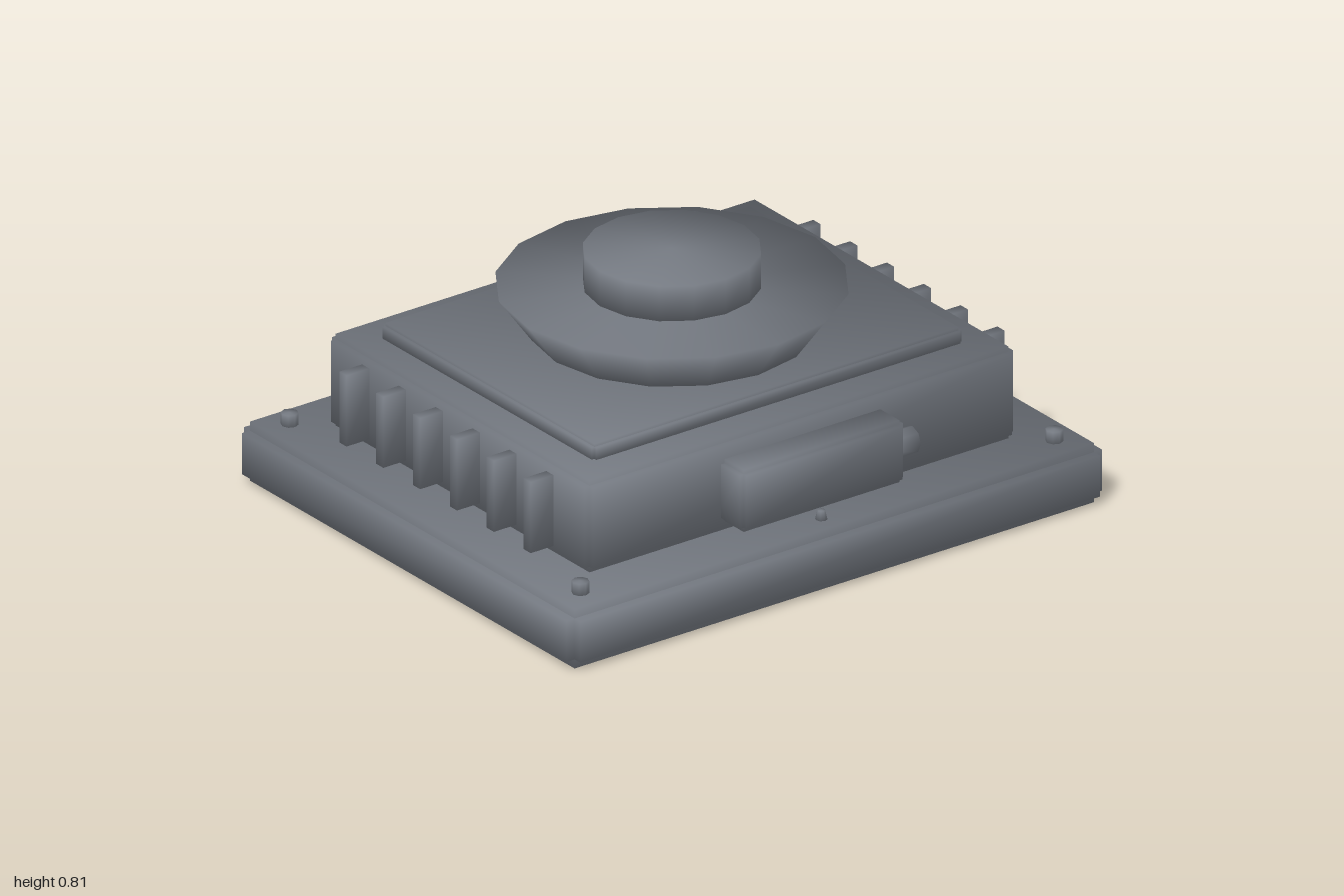
import * as THREE from 'three';
import { mergeVertices, mergeGeometries } from 'three/addons/utils/BufferGeometryUtils.js';

const material = new THREE.MeshStandardMaterial({ color: 0x757a82 });

// Share vertices and average the face normals by corner angle,
// so that shading runs softly over every edge
function soften(geometry) {
  geometry.deleteAttribute('normal');
  geometry.deleteAttribute('uv');
  const merged = mergeVertices(geometry, 1e-4);
  const { position } = merged.attributes;
  const index = merged.index.array;
  const point = (i) => new THREE.Vector3().fromBufferAttribute(position, i);
  const sums = Array.from({ length: position.count }, () => new THREE.Vector3());
  for (let t = 0; t < index.length; t += 3) {
    for (let k = 0; k < 3; k++) {
      const corner = index[t + k];
      const a = point(index[t + (k + 1) % 3]).sub(point(corner));
      const b = point(index[t + (k + 2) % 3]).sub(point(corner));
      const normal = a.clone().cross(b);
      if (normal.lengthSq() > 0) sums[corner].addScaledVector(normal.normalize(), a.angleTo(b));
    }
  }
  const normals = sums.flatMap((n) => n.normalize().toArray());
  merged.setAttribute('normal', new THREE.Float32BufferAttribute(normals, 3));
  return merged;
}

const box = (w, h, d) => soften(new THREE.BoxGeometry(w, h, d));

// Box with its edges stepped in by c: one slab per axis
function steppedBox(w, h, d, c) {
  const s = 2 * c;
  return mergeGeometries([
    box(w, h - s, d - s),
    box(w - s, h, d - s),
    box(w - s, h - s, d),
  ]);
}

function cylinder(rTop, rBottom, height, sides) {
  return soften(new THREE.CylinderGeometry(rTop, rBottom, height, sides));
}

export function createModel() {
  const model = new THREE.Group();
  const add = (name, geometry, x, y, z) => {
    const mesh = new THREE.Mesh(geometry, material);
    mesh.name = name;
    mesh.position.set(x, y, z);
    model.add(mesh);
    return mesh;
  };

  // Stacked housing
  add('basePlate', steppedBox(2, 0.196, 1.69, 0.03), 0, 0.098, 0);
  add('body', steppedBox(1.6, 0.305, 1.31, 0.018), 0, 0.35, 0);
  add('topPlate', steppedBox(1.38, 0.06, 1.07, 0.01), 0, 0.522, 0);

  // Flared dish and central hub
  add('dish', cylinder(0.535, 0.43, 0.145, 16), 0, 0.6195, 0);
  add('hub', cylinder(0.27, 0.27, 0.12, 16), 0, 0.747, 0);
  add('dishPin', cylinder(0.02, 0.02, 0.02, 8), 0.34, 0.683, -0.345);

  // Cooling fins on both sides
  const fin = box(0.11, 0.235, 0.036);
  for (const side of [-1, 1]) {
    for (let i = 0; i < 6; i++) {
      add('coolingFin', fin, side * 0.83, 0.348, -0.4625 + i * 0.185);
    }
  }

  // Corner bolts and small edge studs
  const bolt = cylinder(0.027, 0.027, 0.05, 8);
  const stud = cylinder(0.012, 0.02, 0.035, 8);
  for (const sz of [-1, 1]) {
    for (const sx of [-1, 1]) add('cornerBolt', bolt, sx * 0.885, 0.21, sz * 0.73);
    add('edgeStud', stud, 0, 0.208, sz * 0.75);
  }

  // Front compartment with side plug
  add('frontCompartment', steppedBox(0.61, 0.205, 0.14, 0.014), 0, 0.338, 0.695);
  add('sidePlug', cylinder(0.043, 0.043, 0.1, 8), 0.333, 0.33, 0.692)
    .rotation.z = -Math.PI / 2;

  // Rear connectors with hexagonal nuts
  const nut = cylinder(0.07, 0.07, 0.035, 6);
  const socket = cylinder(0.052, 0.052, 0.1, 12);
  for (const x of [-0.385, 0, 0.385]) {
    add('connectorNut', nut, x, 0.33, -0.655).rotation.x = -Math.PI / 2;
    add('connectorSocket', socket, x, 0.33, -0.705).rotation.x = -Math.PI / 2;
  }

  return model;
}
